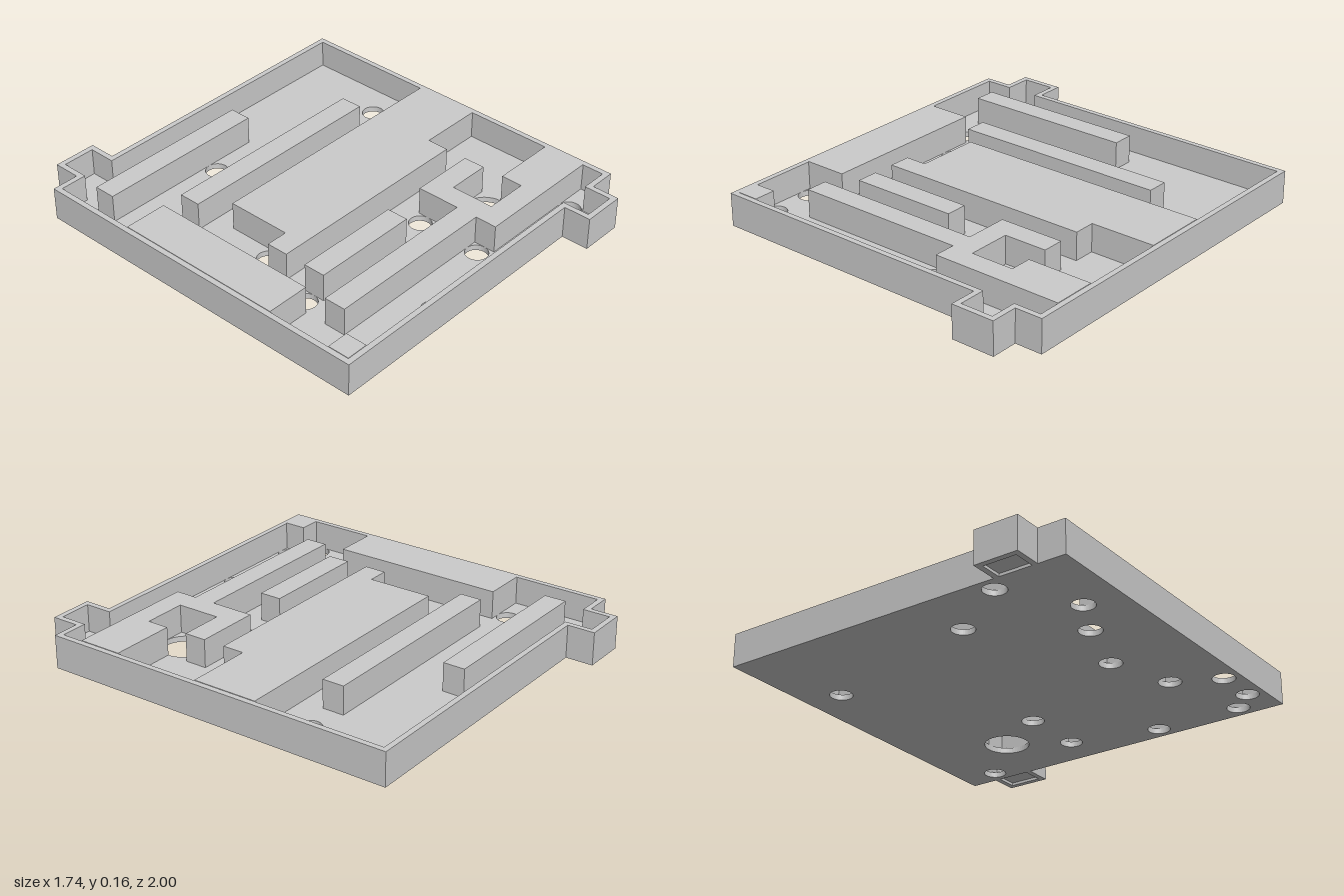
import * as THREE from 'three';

const U = 1 / 38;      // one design step
const WALL_TOP = 6;    // outer wall height
const BLOCK_TOP = 6.1; // maze blocks stand a hair above the wall
const FLOOR = 1;       // floor thickness

const material = new THREE.MeshStandardMaterial({ color: 0xcccccc, flatShading: true });

// plan coordinates are (x, z), listed clockwise from above; the shape uses y = -z
// and runs counter-clockwise so that holes wind the right way
const toPoints = (plan) => plan.map(([x, z]) => new THREE.Vector2(x * U, -z * U)).reverse();

function circle(x, z, r) {
  return new THREE.Path().absarc(x * U, -z * U, r * U, 0, Math.PI * 2, false);
}

function slab(name, plan, y0, y1, holes = []) {
  const shape = new THREE.Shape(toPoints(plan));
  shape.holes.push(...holes);
  const geometry = new THREE.ExtrudeGeometry(shape, {
    depth: (y1 - y0) * U, bevelEnabled: false, curveSegments: 24,
  });
  geometry.rotateX(-Math.PI / 2);
  geometry.translate(0, y0 * U, 0);
  const mesh = new THREE.Mesh(geometry, material);
  mesh.name = name;
  return mesh;
}

const rect = (x0, z0, x1, z1) => [[x0, z0], [x1, z0], [x1, z1], [x0, z1]];

// square with one tab at the back and its half-turn copy at the front
function tabbedSquare(half, tabNear, tabFar, reach) {
  const side = [[-half, -half], [-tabFar, -half], [-tabFar, -reach],
    [-tabNear, -reach], [-tabNear, -half], [half, -half]];
  return [...side, ...side.map(([x, z]) => [-x, -z])];
}

export function createModel() {
  const model = new THREE.Group();
  model.name = 'mazeTray';

  // outer wall following the tabbed outline
  const inner = new THREE.Path(toPoints(tabbedSquare(32, 21, 27, 37)));
  model.add(slab('outerWall', tabbedSquare(33, 20, 28, 38), 0, WALL_TOP, [inner]));

  // floor with small drop holes and one large hole
  const dropHoles = [
    [-18, -30], [-6, -22], [-26, -18], [-22, -10], [26, -14], [-18, 2], [-22, 14],
    [6, 14], [-30, 18], [-30, 26], [-26, 30], [-10, 30], [6, 26], [26, 30],
  ].map(([x, z]) => circle(x, z, 2));
  dropHoles.push(circle(16, 20, 4));
  model.add(slab('floor', tabbedSquare(32, 21, 27, 33), 0, FLOOR, dropHoles));

  // thinner floors inside the tabs, recessed underneath
  for (const s of [-1, 1]) {
    model.add(slab(s < 0 ? 'backTabFloor' : 'frontTabFloor',
      rect(s * 21, s * 33, s * 27, s * 37), FLOOR / 2, FLOOR));
  }

  // maze blocks; the plateau and front block join the side wall
  const blocks = {
    backBar: rect(-28, -28, 4, -24),
    secondBar: rect(-20, -16, 20, -12),
    shortBar: rect(-20, 12, 0, 16),
    rightSideBlock: rect(-32, -16, -24, 16),
    cornerBlock: rect(-32, 28, -28, 32),
    centralPlateau: [
      [-16, -8], [32, -8], [32, 4], [20, 4], [20, 8], [-20, 8], [-20, 4], [-16, 4],
    ],
    // wrapped around the large hole, open on one side
    frontBlock: [
      [8, 12], [20, 12], [20, 16], [12, 16], [12, 24], [20, 24], [20, 20], [32, 20],
      [32, 28], [8, 28], [8, 24], [-24, 24], [-24, 20], [8, 20],
    ],
  };
  for (const [name, plan] of Object.entries(blocks)) {
    model.add(slab(name, plan, FLOOR, BLOCK_TOP));
  }

  return model;
}
